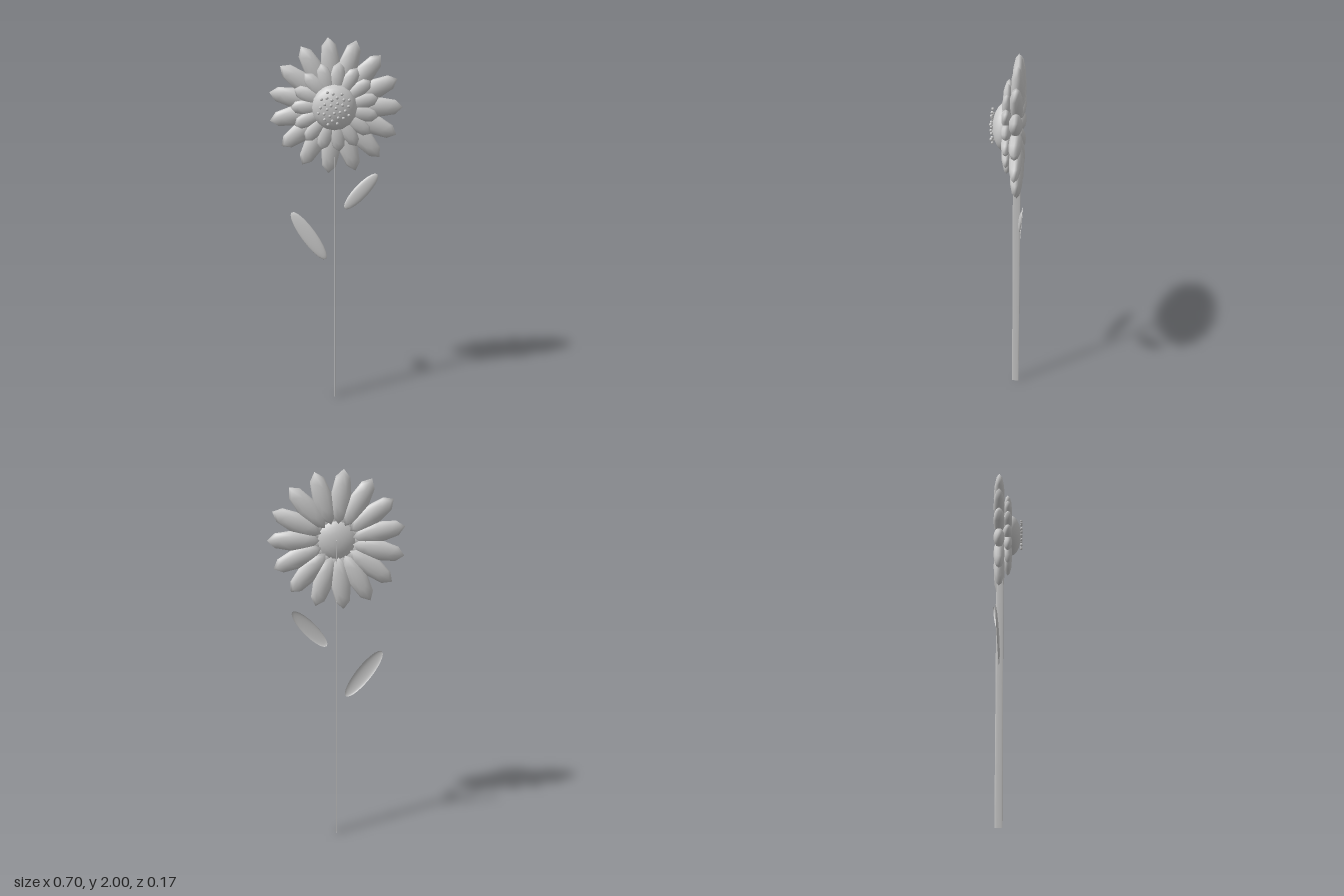
import * as THREE from 'three';

export function createModel() {
  const model = new THREE.Group();
  const plantGrey = new THREE.MeshStandardMaterial({ color: 0xcccccc });
  const leafGrey = plantGrey;
  leafGrey.name = 'plantGrey';
  leafGrey.side = THREE.DoubleSide;
  const cx = -0.004, cy = 1.65;

  const add = (name, geometry, parent = model) => {
    const mesh = new THREE.Mesh(geometry, plantGrey);
    mesh.name = name;
    parent.add(mesh);
    return mesh;
  };

  // Stem: a ribbon-thin cylinder reaching the middle of the flower
  const stem = add('stem', new THREE.CylinderGeometry(0.02, 0.02, 1.65, 12));
  stem.scale.x = 0.1;
  stem.position.set(cx, 0.825, -0.045);

  // Flower head: two rings of petals, a domed disc and seeds
  const head = new THREE.Group();
  head.name = 'flowerHead';
  head.position.set(cx, cy, 0);
  model.add(head);

  const petalShape = new THREE.SphereGeometry(1, 8, 6).rotateX(Math.PI / 2);
  const petalRing = (name, count, offset, inner, outer, halfWidth, halfDepth, z) => {
    const ring = new THREE.Group();
    ring.name = name + 'Ring';
    head.add(ring);
    for (let i = 0; i < count; i++) {
      const a = offset + (i * 2 * Math.PI) / count;
      const r = (inner + outer) / 2;
      const petal = add(name, petalShape, ring);
      petal.scale.set((outer - inner) / 2, halfWidth, halfDepth);
      petal.position.set(r * Math.cos(a), r * Math.sin(a), z);
      petal.rotation.z = a;
    }
  };
  petalRing('outerPetal', 15, 0, 0.085, 0.352, 0.052, 0.031, -0.05);
  petalRing('innerPetal', 15, Math.PI / 15, 0.055, 0.229, 0.041, 0.024, -0.001);

  const disc = add('disc', new THREE.SphereGeometry(1, 16, 10).rotateX(Math.PI / 2), head);
  disc.scale.set(0.117, 0.117, 0.06);
  disc.position.z = 0.015;

  // Seeds in a sunflower spiral, all in one plane
  const seedShape = new THREE.SphereGeometry(0.008, 6, 5);
  for (let i = 0; i < 30; i++) {
    const r = 0.0162 * Math.sqrt(i + 0.5), a = i * 2.39996;
    add('seed', seedShape, head).position.set(r * Math.cos(a), r * Math.sin(a), 0.077);
  }

  // Leaves: shallow oval shells, hollow at the back, tips leaning back
  const leafShape = new THREE.SphereGeometry(1, 20, 6, 0, Math.PI * 2, 0, Math.PI / 2).rotateX(Math.PI / 2);
  const leaf = (name, x, y, z, length, width, angle, lean) => {
    const holder = new THREE.Group();
    holder.name = name;
    holder.position.set(x, y, z);
    holder.rotation.z = angle;
    model.add(holder);
    const blade = add(name + 'Blade', leafShape, holder);
    blade.scale.set(length, width, 0.012);
    blade.rotation.y = lean;
  };
  leaf('leftLeaf', 0.135, 1.197, -0.075, 0.129, 0.038, 0.82, 0.08);
  leaf('rightLeaf', -0.149, 0.95, -0.058, 0.16, 0.042, 2.2, 0.06);

  return model;
}
